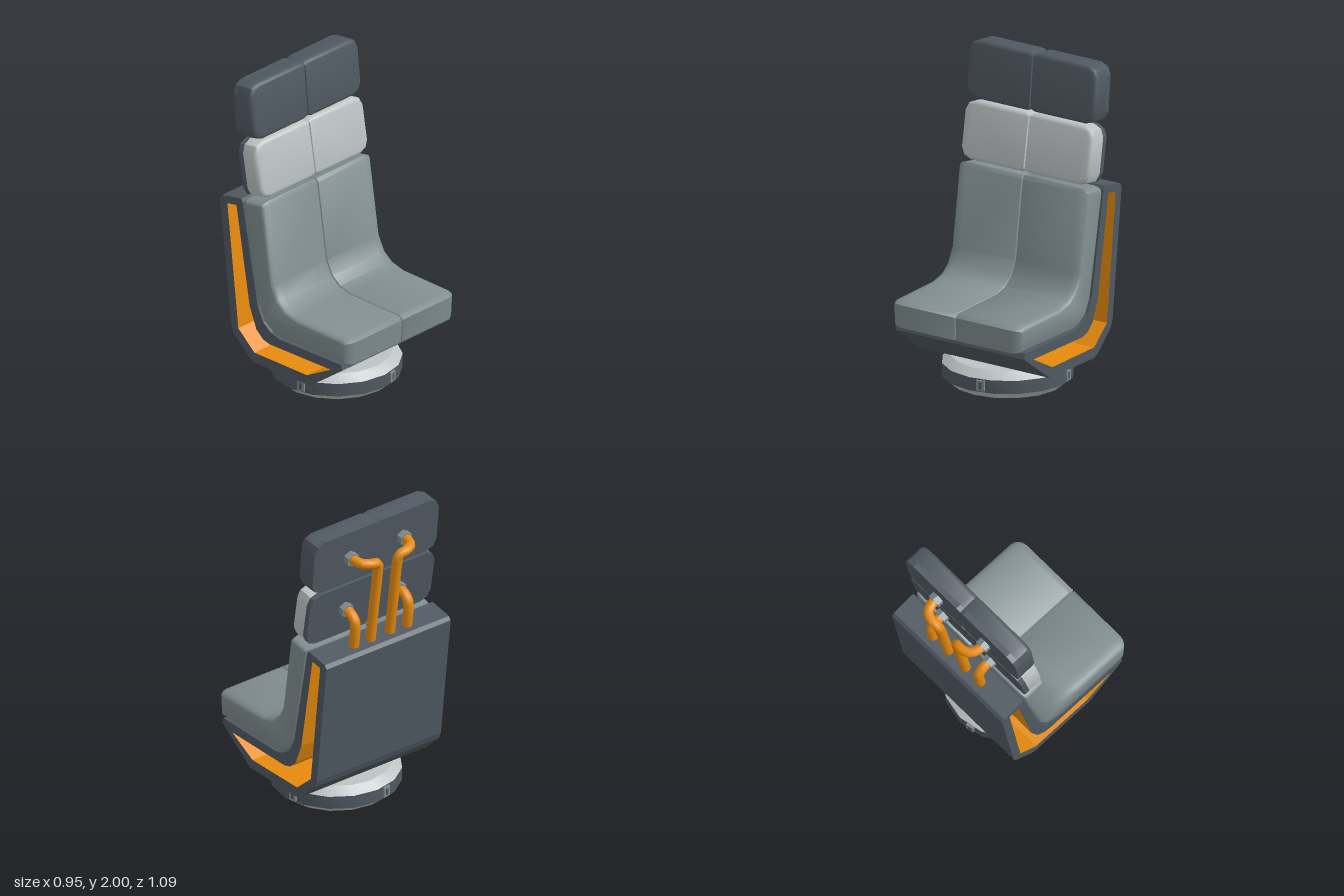
import * as THREE from 'three';
import { toCreasedNormals } from 'three/addons/utils/BufferGeometryUtils.js';

const mat = (name, color) => new THREE.MeshStandardMaterial({ name, color });
const W = 0.475; // half width of the seat

// Side profiles are listed as [z, y]; extruded along z, then turned so depth runs along x
const sideShape = (pts) => new THREE.Shape(pts.map(([z, y]) => new THREE.Vector2(-z, y)));

// Tightens the bevel beside the centre seam
function tightenSeam(geo, limit, k) {
  const p = geo.attributes.position;
  for (let i = 0; i < p.count; i++) {
    const x = p.getX(i);
    if (Math.abs(x) < limit) p.setX(i, x * k);
  }
}
// Rounds the outer front corners of the seat cushion
function roundFront(geo) {
  const p = geo.attributes.position;
  for (let i = 0; i < p.count; i++) {
    const t = Math.max(0, (Math.abs(p.getX(i)) - 0.395) / 0.08);
    if (p.getZ(i) > 0.46) p.setZ(i, p.getZ(i) - 0.022 * t * t);
  }
}

export function createModel() {
  const dark = mat('slate', 0x505962);
  const grey = mat('cushion grey', 0x808d90);
  const light = mat('light grey', 0xbdc3c5);
  const orange = mat('orange', 0xe68a0e);

  const root = new THREE.Group();
  root.name = 'seat';
  const add = (name, geo, material, parent = root) => {
    const m = new THREE.Mesh(geo, material);
    m.name = name;
    parent.add(m);
    return m;
  };

  // Hollow shell: dark outside, orange lining (the opening winds the other way)
  const outline = [
    [0.495, 0.36], [0.485, 0.395], [-0.02, 0.395], [-0.09, 0.415], [-0.155, 0.465], [-0.2, 0.56],
    [-0.322, 1.21], [-0.335, 1.23], [-0.49, 1.203], [-0.508, 1.18],
    [-0.414, 0.36], [-0.397, 0.315], [-0.265, 0.19], [-0.225, 0.17], [0.23, 0.17],
  ];
  const opening = [
    [0.205, 0.232], [-0.225, 0.237], [-0.357, 0.355], [-0.447, 1.163], [-0.372, 1.175],
    [-0.265, 0.54], [-0.21, 0.4], [-0.155, 0.35], [-0.1, 0.335], [0.4, 0.335],
  ];
  const frame = sideShape(outline);
  frame.holes.push(sideShape(opening));
  const shell = new THREE.ExtrudeGeometry(frame, { depth: 2 * W, bevelEnabled: false });
  const walls = shell.groups[1];
  walls.count = outline.length * 6;
  shell.addGroup(walls.start + walls.count, opening.length * 6, 2);
  shell.translate(0, 0, -W).rotateY(Math.PI / 2);
  add('shell', shell, [dark, dark, orange]);

  // Seat and backrest cushion, one half per side
  const cushion = [
    [0.538, 0.398], [0.547, 0.545], [0.51, 0.565], [0.12, 0.575], [0.03, 0.598], [-0.03, 0.645],
    [-0.075, 0.735], [-0.148, 1.23], [-0.168, 1.25], [-0.315, 1.225], [-0.322, 1.185],
    [-0.2, 0.56], [-0.155, 0.467], [-0.085, 0.415], [-0.02, 0.396],
  ];
  const bevel = 0.07;
  for (const s of [1, -1]) {
    const geo = new THREE.ExtrudeGeometry(sideShape(cushion), {
      depth: W - 2 * bevel, bevelThickness: bevel, bevelSize: 0.025, bevelOffset: -0.025, bevelSegments: 4,
    });
    geo.translate(0, 0, bevel - (s < 0 ? W : 0)).rotateY(Math.PI / 2);
    tightenSeam(geo, bevel + 0.001, 0.09);
    roundFront(geo);
    add(s > 0 ? 'leftCushion' : 'rightCushion', toCreasedNormals(geo, 0.7), grey);
  }

  // Head and shoulder pads: padded front on a dark back plate
  const H = 0.183, D = 0.145;
  const halfPad = (s) => new THREE.Shape([
    [0, -H + 0.012], [0.03, -H], [W - 0.075, -H], [W - 0.022, -H + 0.022], [W, -H + 0.07],
    [W, H - 0.07], [W - 0.022, H - 0.022], [W - 0.075, H], [0.03, H], [0, H - 0.012],
  ].map(([x, y]) => new THREE.Vector2(s * x, y)));
  const addPad = (name, y, z, tilt, material) => {
    const g = new THREE.Group();
    g.name = name;
    g.position.set(0, y, z);
    g.rotation.x = -tilt;
    root.add(g);
    for (const s of [1, -1]) {
      const pad = new THREE.ExtrudeGeometry(halfPad(s), {
        depth: D - 0.064, bevelThickness: 0.03, bevelSize: 0.025, bevelOffset: -0.025, bevelSegments: 3,
      });
      pad.translate(0, 0, -D / 2 + 0.034);
      tightenSeam(pad, 0.027, 0.2);
      add('padding', toCreasedNormals(pad, 0.7), material, g);
      const plate = new THREE.ExtrudeGeometry(halfPad(s), { depth: 0.035, bevelEnabled: false });
      add('backPlate', plate.translate(0, 0, -D / 2), dark, g);
    }
  };
  addPad('shoulderPad', 1.436, -0.263, 0.165, light);
  addPad('headrest', 1.811, -0.312, 0.1, dark);

  // Bent support pipes with hexagonal collars
  const pipes = {
    headrestPipe: [
      [0.074, 1.17, -0.42], [0.074, 1.45, -0.459], [0.074, 1.71, -0.495], [0.082, 1.775, -0.506],
      [0.13, 1.79, -0.511], [0.183, 1.797, -0.487], [0.203, 1.805, -0.43], [0.203, 1.808, -0.38],
    ],
    shoulderPipe: [
      [0.203, 1.17, -0.422], [0.203, 1.33, -0.442], [0.203, 1.385, -0.438], [0.203, 1.42, -0.4],
      [0.203, 1.435, -0.33],
    ],
  };
  const collars = [['headrestCollar', 1.805, -0.405, 0.1], ['shoulderCollar', 1.43, -0.353, 0.165]];
  for (const s of [1, -1]) {
    for (const [name, pts] of Object.entries(pipes)) {
      const curve = new THREE.CatmullRomCurve3(
        pts.map(([x, y, z]) => new THREE.Vector3(s * x, y, z)), false, 'centripetal');
      add(name, new THREE.TubeGeometry(curve, 28, 0.032, 10), orange);
    }
    for (const [name, y, z, tilt] of collars) {
      const nut = new THREE.CylinderGeometry(0.046, 0.046, 0.04, 6).rotateX(Math.PI / 2);
      const m = add(name, toCreasedNormals(nut, 0.3), grey);
      m.position.set(s * 0.203, y, z);
      m.rotation.x = -tilt;
    }
  }

  // Round base: light bevelled disc with a dark band
  const lathe = (pts) => toCreasedNormals(
    new THREE.LatheGeometry(pts.map(([r, y]) => new THREE.Vector2(r, y)), 16), 0.5);
  add('baseBottom', lathe([[0, 0], [0.345, 0], [0.4, 0.045]]), light);
  add('baseBand', lathe([[0.4, 0.045], [0.4, 0.128]]), dark);
  add('baseTop', lathe([[0.4, 0.128], [0.345, 0.172], [0, 0.172]]), light);

  // Four small clips around the band
  for (let i = 0; i < 4; i++) {
    const clip = new THREE.Group();
    clip.name = 'baseClip';
    clip.rotation.y = Math.PI / 16 + (i * Math.PI) / 2;
    root.add(clip);
    add('clipBody', new THREE.BoxGeometry(0.052, 0.066, 0.02), grey, clip).position.set(0, 0.087, 0.394);
    add('clipSlot', new THREE.BoxGeometry(0.02, 0.042, 0.004), dark, clip).position.set(0, 0.087, 0.404);
  }
  return root;
}
